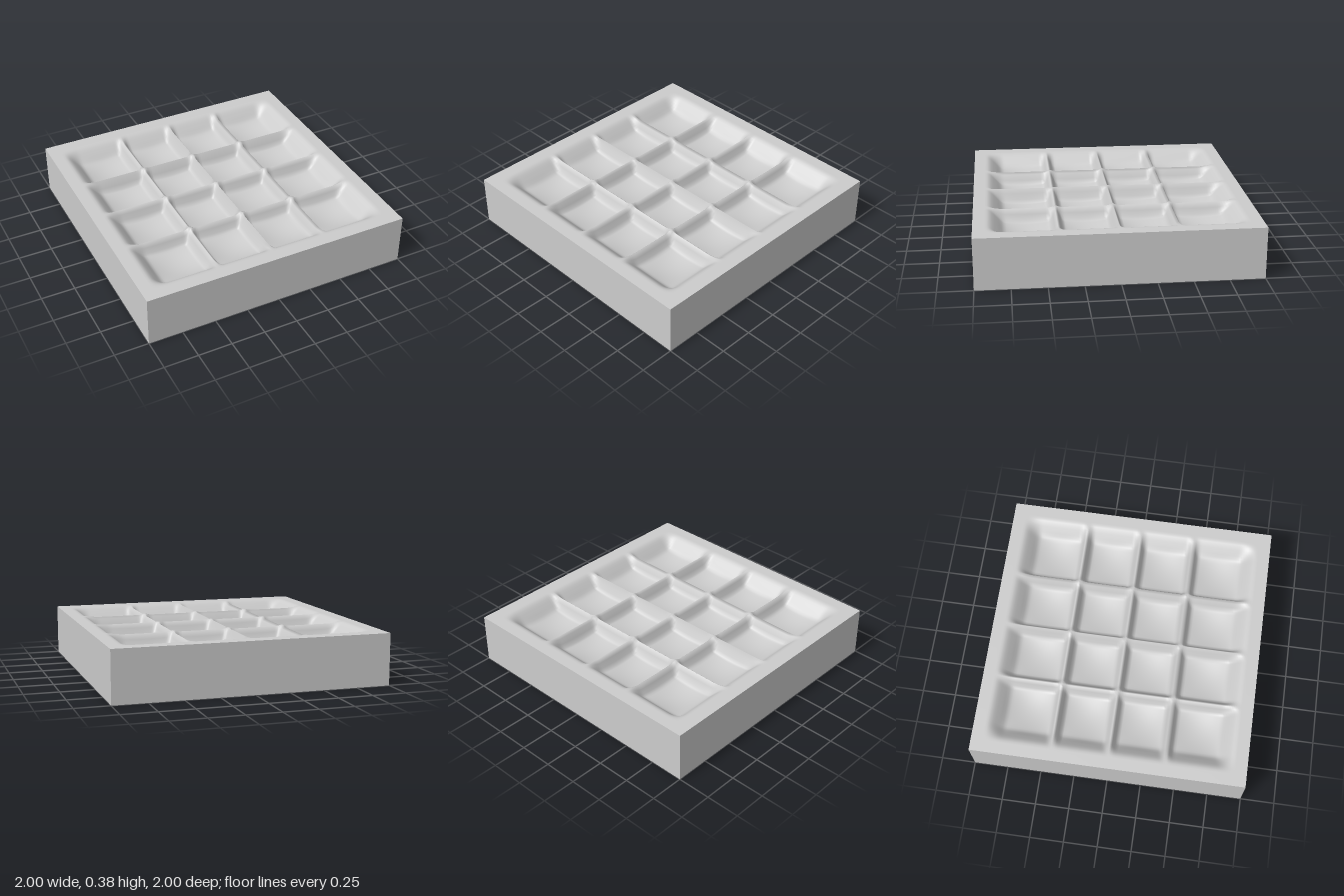
import * as THREE from 'three';

const SIZE = 2, HEIGHT = 0.375, PITCH = 0.412, WALL_DEPTH = 0.09, BOWL_DEPTH = 0.04;

// Position along one axis: wall strength (0 rim, 1 floor) and distance from pit centre
function axisProfile(p) {
  const a = Math.abs(p);
  const centre = a < PITCH ? PITCH / 2 : PITCH * 1.5;
  const outward = a > PITCH * 1.5;
  const d = Math.abs(a - centre);
  const rim = outward ? 0.285 : 0.215;
  return { wall: 1 - THREE.MathUtils.smoothstep(d, 0.155, rim), t: Math.min(d / 0.2, 1) };
}

// Pit depth: steep walls with a shallow bowl floor
function pitDepth(x, z) {
  const u = axisProfile(x), v = axisProfile(z);
  const bowl = (1 - u.t * u.t) * (1 - v.t * v.t);
  return u.wall * v.wall * WALL_DEPTH + bowl * BOWL_DEPTH;
}

// Square face sunk into a four by four grid of pits
function pittedFace() {
  const geo = new THREE.PlaneGeometry(SIZE, SIZE, 120, 120).rotateX(-Math.PI / 2);
  const pos = geo.attributes.position;
  for (let i = 0; i < pos.count; i++) {
    pos.setY(i, HEIGHT / 2 - pitDepth(pos.getX(i), pos.getZ(i)));
  }
  geo.computeVertexNormals();
  return geo;
}

export function createModel() {
  const group = new THREE.Group();
  group.name = 'dimpledSlab';
  const grey = new THREE.MeshStandardMaterial({ color: 0xcccccc });
  grey.name = 'light grey';

  const add = (name, geo) => {
    const mesh = new THREE.Mesh(geo, grey);
    mesh.name = name;
    mesh.position.y = HEIGHT / 2;
    group.add(mesh);
    return mesh;
  };

  // Pitted top, and the same face turned over for the underside
  const face = pittedFace();
  add('pittedTop', face);
  add('pittedUnderside', face).rotation.x = Math.PI;

  // Four plain sides
  const side = new THREE.PlaneGeometry(SIZE, HEIGHT).translate(0, 0, SIZE / 2);
  ['frontSide', 'leftSide', 'backSide', 'rightSide'].forEach((name, i) => {
    add(name, side).rotation.y = i * Math.PI / 2;
  });
  return group;
}
